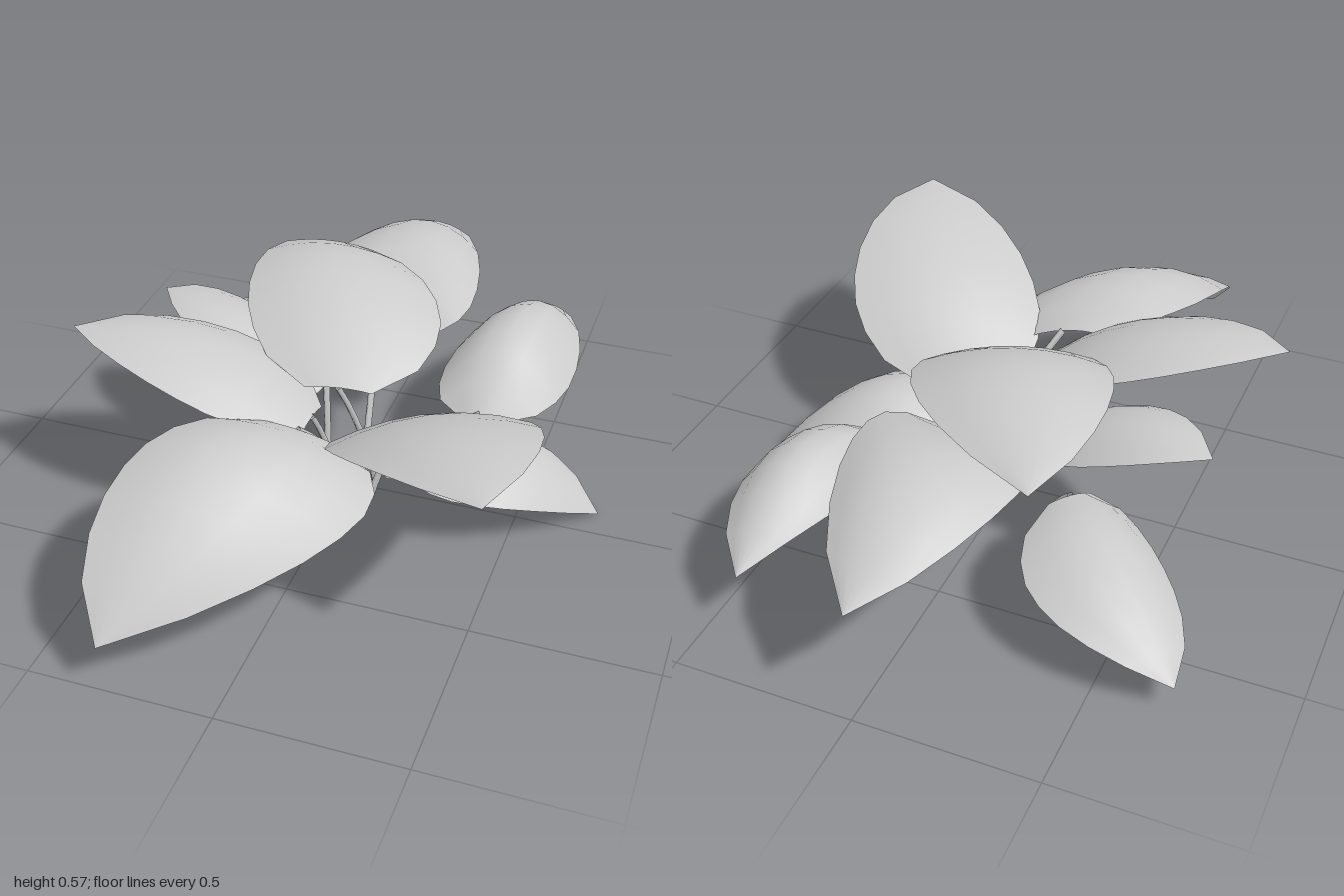
import * as THREE from 'three';

const V = (p) => new THREE.Vector3(...p);
const material = new THREE.MeshStandardMaterial({ color: 0xcccccc, side: THREE.DoubleSide });

// Half-width of a blade from base to tip, as a share of its widest part
const PROFILE = [0.34, 0.78, 0.95, 1.02, 1, 0.91, 0.74, 0.47, 0];
const COLS = 6;

// Quadratic curve passing through three points
function curveThrough(a, m, b) {
  const control = m.clone().multiplyScalar(2).addScaledVector(a, -0.5).addScaledVector(b, -0.5);
  return new THREE.QuadraticBezierCurve3(a, control, b);
}

// Domed blade: arched midrib with cross-sections through the two edge points
function bladeGeometry(base, mid, tip, edgeA, edgeB) {
  const rib = curveThrough(base, mid, tip);
  const a = edgeA.clone().sub(mid), b = edgeB.clone().sub(mid);
  const slope = a.clone().sub(b).multiplyScalar(0.5);
  const droop = a.clone().add(b).multiplyScalar(0.5);
  const rows = PROFILE.length, positions = [], index = [];
  for (let i = 0; i < rows; i++) {
    const centre = rib.getPoint(i / (rows - 1));
    for (let j = 0; j <= COLS; j++) {
      const w = PROFILE[i] * (2 * j / COLS - 1);
      const p = centre.clone().addScaledVector(slope, w).addScaledVector(droop, w * w);
      positions.push(p.x, p.y, p.z);
    }
  }
  for (let i = 0; i < rows - 1; i++) {
    for (let j = 0; j < COLS; j++) {
      const k = i * (COLS + 1) + j, n = k + COLS + 1;
      index.push(k, k + 1, n);
      if (i < rows - 2) index.push(k + 1, n + 1, n);
    }
  }
  const geometry = new THREE.BufferGeometry();
  geometry.setAttribute('position', new THREE.Float32BufferAttribute(positions, 3));
  geometry.setIndex(index);
  geometry.computeVertexNormals();
  return geometry;
}

// Slim stalk that leaves the ground steeply and bends out to its blade
function stemGeometry(root, top) {
  const bend = root.clone().lerp(top, 0.5);
  bend.lerp(new THREE.Vector3(root.x, top.y, root.z), 0.12);
  return new THREE.TubeGeometry(curveThrough(root, bend, top), 6, 0.01, 4, false);
}

// Per leaf: stem root, blade base, middle of the midrib, tip, and both edges
const LEAVES = {
  backLeaf: [[0.045, 0.07, -0.02], [0, 0.38, -0.29], [0, 0.505, -0.62], [0, 0.345, -1],
    [-0.24, 0.43, -0.53], [0.24, 0.43, -0.48]],
  backLeftLeaf: [[0.15, 0.07, -0.08], [0.34, 0.2, -0.18], [0.38, 0.375, -0.48], [0.4, 0.19, -0.84],
    [0.2, 0.25, -0.42], [0.56, 0.23, -0.46]],
  backRightLeaf: [[-0.18, 0.06, -0.19], [-0.28, 0.24, -0.26], [-0.48, 0.25, -0.47], [-0.71, 0.07, -0.66],
    [-0.34, 0.18, -0.63], [-0.57, 0.14, -0.33]],
  rightLeaf: [[-0.075, 0.07, -0.04], [-0.1, 0.26, -0.1], [-0.36, 0.42, -0.12], [-0.64, 0.425, -0.2],
    [-0.37, 0.37, -0.27], [-0.4, 0.38, 0.02]],
  frontRightLeaf: [[0.005, 0.07, 0.1], [-0.04, 0.34, 0.18], [-0.35, 0.51, 0.18], [-0.72, 0.515, 0.22],
    [-0.33, 0.45, 0], [-0.35, 0.45, 0.37]],
  frontLeaf: [[0.085, 0.07, 0.11], [-0.04, 0.37, 0.29], [-0.11, 0.42, 0.62], [-0.3, 0.135, 1],
    [-0.39, 0.39, 0.61], [0.17, 0.255, 0.55]],
  topLeaf: [[0.1, 0.07, 0.05], [0.01, 0.4, 0.11], [-0.1, 0.575, -0.23], [-0.28, 0.46, -0.56],
    [-0.35, 0.525, -0.15], [0.17, 0.49, -0.28]],
  frontLeftLeaf: [[0.11, 0.07, 0.12], [0.18, 0.26, 0.05], [0.35, 0.5, 0.31], [0.56, 0.55, 0.69],
    [0.11, 0.42, 0.43], [0.59, 0.46, 0.2]],
  leftLeaf: [[0.13, 0.07, 0.03], [0.19, 0.18, 0.02], [0.43, 0.245, 0], [0.72, 0, -0.09],
    [0.43, 0.16, 0.19], [0.42, 0.18, -0.17]],
};

export function createModel() {
  const plant = new THREE.Group();
  plant.name = 'leafyPlant';
  for (const [name, points] of Object.entries(LEAVES)) {
    const [root, base, mid, tip, edgeA, edgeB] = points.map(V);
    // Order the edges so that the blade's front side faces up
    const across = edgeB.clone().sub(edgeA), along = tip.clone().sub(base);
    const edges = across.cross(along).y > 0 ? [edgeB, edgeA] : [edgeA, edgeB];
    const leaf = new THREE.Group();
    leaf.name = name;
    const blade = new THREE.Mesh(bladeGeometry(base, mid, tip, ...edges), material);
    blade.name = 'blade';
    const stem = new THREE.Mesh(stemGeometry(root, base), material);
    stem.name = 'stem';
    leaf.add(blade, stem);
    plant.add(leaf);
  }
  return plant;
}
